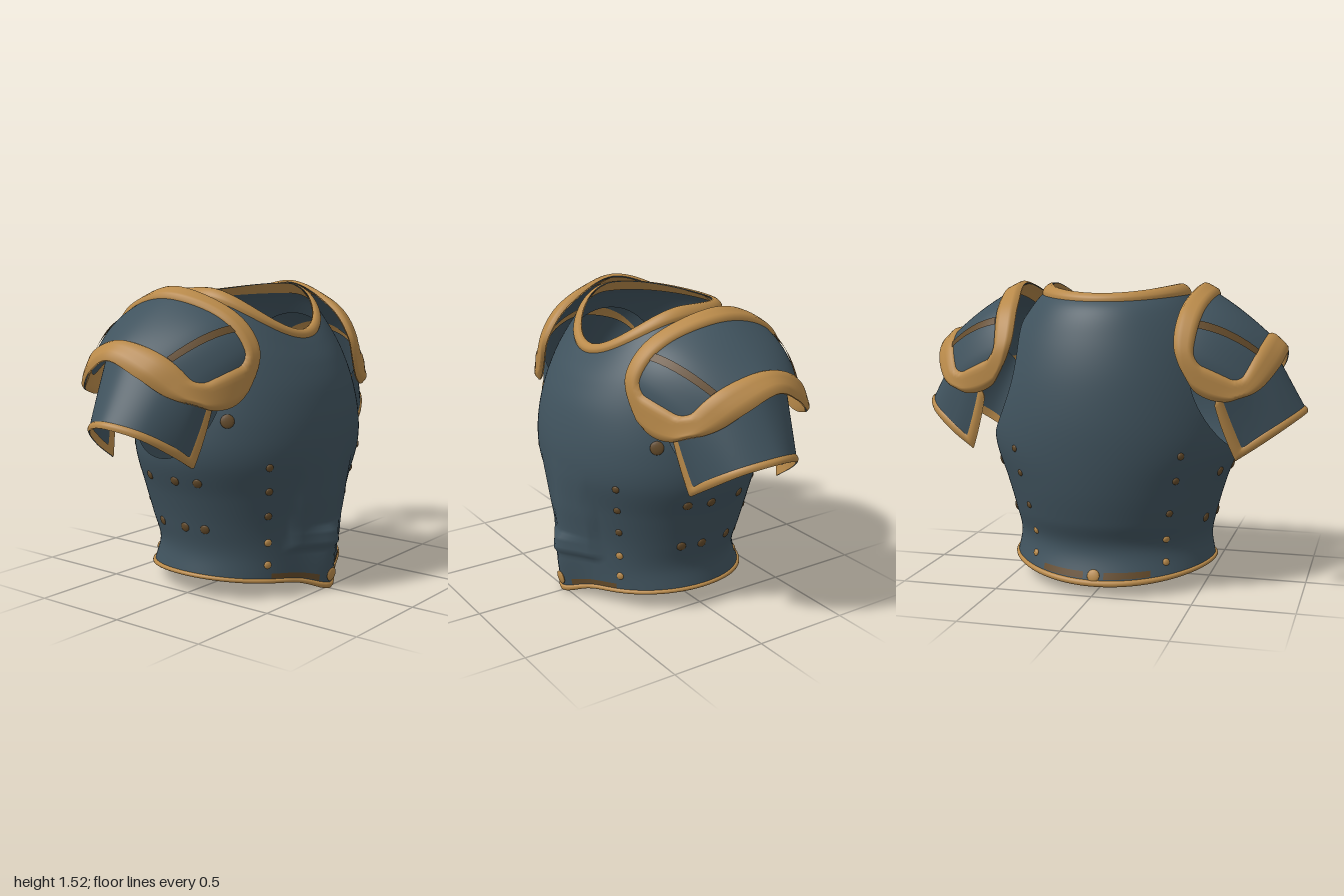
import * as THREE from 'three';
import { mergeVertices } from 'three/addons/utils/BufferGeometryUtils.js';

const paint = (name, color) =>
  new THREE.MeshStandardMaterial({ name, color, side: THREE.DoubleSide });

// Catmull-Rom value of a list of numbers at t (0 .. length - 1)
function spline(a, t) {
  const n = a.length - 1;
  const i = Math.min(Math.max(Math.floor(t), 0), n - 1), f = t - i;
  const p1 = a[i], p2 = a[i + 1];
  const p0 = i > 0 ? a[i - 1] : 2 * p1 - p2, p3 = i + 2 <= n ? a[i + 2] : 2 * p2 - p1;
  return p1 + 0.5 * f * (p2 - p0 + f * (2 * p0 - 5 * p1 + 4 * p2 - p3 + f * (3 * (p1 - p2) + p3 - p0)));
}
const smooth = THREE.MathUtils.smoothstep;

// Outward normal of a parametric surface
function normalAt(point, u, v) {
  const e = 0.004;
  const du = point(u + e, v).sub(point(u - e, v));
  const dv = point(u, v + e).sub(point(u, v - e));
  return du.cross(dv).normalize();
}

// Surface sheet over [u0,u1]x[v0,v1], trimmed to keep > 0 and raised by height
function sheet(point, [u0, u1, nu], [v0, v1, nv], keep = () => 1, height = null) {
  const pos = [];
  const place = ([u, v]) => {
    const p = point(u, v);
    if (height) p.addScaledVector(normalAt(point, u, v), height(u, v));
    return [p.x, p.y, p.z];
  };
  const trim = (poly) => {
    const out = [];
    poly.forEach((a, i) => {
      const b = poly[(i + 1) % poly.length], ka = keep(...a), kb = keep(...b);
      if (ka > 0) out.push(a);
      if (ka > 0 !== kb > 0) {
        const t = ka / (ka - kb);
        out.push([a[0] + (b[0] - a[0]) * t, a[1] + (b[1] - a[1]) * t]);
      }
    });
    return out;
  };
  const at = (i, j) => [u0 + ((u1 - u0) * i) / nu, v0 + ((v1 - v0) * j) / nv];
  for (let i = 0; i < nu; i++) for (let j = 0; j < nv; j++) {
    const a = at(i, j), b = at(i + 1, j), c = at(i + 1, j + 1), d = at(i, j + 1);
    for (const tri of [[a, b, c], [a, c, d]]) {
      const poly = trim(tri).map(place);
      for (let k = 2; k < poly.length; k++) pos.push(...poly[0], ...poly[k - 1], ...poly[k]);
    }
  }
  const g = new THREE.BufferGeometry();
  g.setAttribute('position', new THREE.Float32BufferAttribute(pos, 3));
  const merged = mergeVertices(g, 1e-4);
  merged.computeVertexNormals();
  return merged;
}

// Signed distance to a rounded rectangle in (u,s), scaled to rough lengths
function roundedRect(u, s, [ua, ub, sa, sb], r, lu, ls) {
  const x = Math.max(ua - u, u - ub) * lu + r, y = Math.max(sa - s, s - sb) * ls + r;
  return Math.hypot(Math.max(x, 0), Math.max(y, 0)) + Math.min(Math.max(x, y), 0) - r;
}

// Plate through three rows of points: u runs across the rows, s along them
function platePoint(rows) {
  const cols = rows.map((row) => [0, 1, 2].map((k) => row.map((p) => p[k])));
  return (u, s) => {
    const w = [2 * (u - 0.5) * (u - 1), 4 * u * (1 - u), 2 * u * (u - 0.5)];
    const q = [0, 1, 2].map((k) =>
      cols.reduce((sum, c, i) => sum + w[i] * spline(c[k], s * (c[k].length - 1)), 0));
    return new THREE.Vector3(...q);
  };
}

// Breastplate meridians from hem to neck
const FRONT_Y = [0.06, 0.2, 0.34, 0.52, 0.7, 0.86, 1.02, 1.14, 1.23, 1.31];
const FRONT_Z = [0.445, 0.455, 0.465, 0.5, 0.54, 0.54, 0.508, 0.455, 0.395, 0.33];
const KEEL = [0.055, 0.07, 0.05, 0.025, 0.005, 0, 0, 0, 0, 0];
const SIDE_Y = [0.105, 0.23, 0.36, 0.52, 0.7, 0.86, 1.05, 1.25, 1.41, 1.52];
const SIDE_X = [0.53, 0.51, 0.535, 0.58, 0.64, 0.64, 0.6, 0.53, 0.43, 0.33];
const BACK_Y = [0.05, 0.22, 0.36, 0.52, 0.7, 0.88, 1.08, 1.26, 1.4, 1.48];
const BACK_Z = [0.48, 0.43, 0.475, 0.515, 0.54, 0.545, 0.525, 0.48, 0.42, 0.33];

function torsoPoint(th, v) {
  const c = Math.cos(th), front = c > 0;
  const x = spline(SIDE_X, v) * Math.sin(th), ys = spline(SIDE_Y, v);
  let y = ys + (spline(front ? FRONT_Y : BACK_Y, v) - ys) * c * c;
  let z = spline(front ? FRONT_Z : BACK_Z, v) * c;
  if (front) {
    const ax = Math.abs(x);
    z += spline(KEEL, v) * Math.exp(-((ax / 0.11) ** 1.5));
    // raised belly plate and stepped hem point
    z += 0.02 * (1 - smooth(ax, 0.195, 0.225)) * smooth(y, 0.225, 0.25) * (1 - smooth(y, 0.45, 0.75));
    z += 0.02 * Math.exp(-((ax / 0.12) ** 2)) * (1 - smooth(y, 0.32, 0.345));
    y -= 0.055 * Math.exp(-((ax / 0.11) ** 2)) * Math.max(0, 1 - v);
  }
  return new THREE.Vector3(x, y, z);
}

export function createModel() {
  const steel = paint('blue steel', 0x40535e);
  const gold = paint('gold trim', 0xb98a4a);
  const bronze = paint('dark bronze', 0x634a2a);
  const model = new THREE.Group();
  model.name = 'armour';
  const add = (parent, name, geometry, material) => {
    const mesh = new THREE.Mesh(geometry, material);
    mesh.name = name;
    parent.add(mesh);
    return mesh;
  };

  // Torso shell with two oval armholes
  const armhole = (th, v) => {
    const p = torsoPoint(th, v);
    if (Math.abs(p.x) < 0.25) return 1;
    return ((p.z + 0.05) / 0.3) ** 2 + ((p.y - 1.03) / 0.32) ** 2 - 1;
  };
  const around = [-Math.PI, Math.PI, 120];
  add(model, 'breastplate', sheet(torsoPoint, around, [0, 9, 72], armhole), steel);

  // Rolled collar and hem, gold on both faces
  const roll = (a, b, h) => (th, v) => h * Math.sqrt(Math.max(0, Math.sin((Math.PI * (v - a)) / (b - a))));
  for (const [name, a, b, h] of [['collar', 8.48, 9, 0.016], ['hem', 0, 0.17, 0.01]]) {
    add(model, name + 'Trim', sheet(torsoPoint, around, [a, b, 8], undefined, roll(a, b, h)), gold);
    add(model, name + 'Lining', sheet(torsoPoint, around, [a, b, 2], undefined, () => -0.005), gold);
  }

  // Bronze bars and small bosses over the hem, front and back
  for (const side of [1, -1]) {
    for (const [a, b] of [[0.12, 0.6], [Math.PI - 0.55, Math.PI - 0.1]]) {
      const range = side > 0 ? [a, b, 12] : [-b, -a, 12];
      add(model, 'hemBar', sheet(torsoPoint, range, [0.2, 0.38, 2], undefined, () => 0.005), bronze);
    }
  }

  // Domed rivets set on the shell at an angle and height
  const dome = new THREE.SphereGeometry(1, 14, 8);
  const rivet = (th, y, r, material, name = 'rivet') => {
    let lo = 0, hi = 9;
    for (let i = 0; i < 24; i++) {
      const mid = (lo + hi) / 2;
      if (torsoPoint(th, mid).y < y) lo = mid; else hi = mid;
    }
    const mesh = add(model, name, dome, material);
    mesh.position.copy(torsoPoint(th, lo));
    mesh.quaternion.setFromUnitVectors(new THREE.Vector3(0, 0, 1), normalAt(torsoPoint, th, lo));
    mesh.scale.set(r, r, 0.009);
  };
  for (const side of [1, -1]) {
    [0.68, 0.555, 0.425, 0.285, 0.17].forEach((y, i) => {
      rivet(side * 0.65, y, 0.019, i > 2 ? gold : bronze);
      rivet(side * (Math.PI - 0.72), y + (i < 2 ? 0.03 : -0.01), 0.018, i > 2 ? gold : bronze);
    });
    for (const th of [1.29, 1.53, 1.9]) for (const y of [0.6, 0.355]) rivet(side * th, y, 0.024, bronze);
    rivet(side * 1.0, 0.91, 0.034, bronze, 'strapStud');
  }
  rivet(0, 0.08, 0.036, gold, 'hemBoss');
  rivet(Math.PI, 0.1, 0.032, gold, 'hemBoss');

  // Shoulder plate rows: neck side, crown, arm side (each front to back)
  const shoulder = platePoint([
    [[0.44, 1.08, 0.36], [0.385, 1.25, 0.36], [0.4, 1.41, 0.22], [0.455, 1.52, -0.08],
      [0.41, 1.42, -0.36], [0.4, 1.25, -0.49], [0.46, 1.08, -0.5]],
    [[0.56, 0.98, 0.33], [0.58, 1.2, 0.3], [0.62, 1.34, 0.16], [0.66, 1.395, -0.1],
      [0.64, 1.34, -0.34], [0.6, 1.18, -0.46], [0.57, 1.0, -0.48]],
    [[0.73, 1.0, 0.26], [0.81, 1.05, 0.14], [0.87, 1.13, 0.03], [0.895, 1.2, -0.13],
      [0.87, 1.14, -0.27], [0.8, 1.05, -0.39], [0.71, 1.0, -0.46]],
  ]);
  // Upper arm guard rows: under the shoulder, middle, lower rim
  const guard = platePoint([
    [[0.58, 0.98, 0.24], [0.66, 1.1, 0.24], [0.74, 1.2, 0.12], [0.8, 1.24, -0.08],
      [0.74, 1.2, -0.28], [0.66, 1.1, -0.38], [0.58, 0.97, -0.4]],
    [[0.62, 0.83, 0.22], [0.73, 0.94, 0.215], [0.85, 1.02, 0.1], [0.905, 1.05, -0.08],
      [0.85, 1.02, -0.25], [0.73, 0.94, -0.34], [0.62, 0.83, -0.37]],
    [[0.675, 0.69, 0.2], [0.8, 0.77, 0.18], [0.93, 0.86, 0.09], [0.992, 0.9, -0.08],
      [0.93, 0.86, -0.23], [0.8, 0.77, -0.31], [0.675, 0.685, -0.33]],
  ]);

  // Trimmed plate: steel sheet, raised gold border, gold lining behind it
  const plate = (parent, name, point, outer, inner, r, size, h) => {
    const edge = (u, s) => -roundedRect(u, s, [0, 1, 0, 1], outer, ...size);
    const border = (u, s) => Math.min(edge(u, s), roundedRect(u, s, inner, r, ...size));
    const U = [0, 1, 32], S = [0, 1, 64];
    const raise = (u, s) => h * Math.sqrt(Math.min(1, Math.max(0, border(u, s)) / 0.025));
    add(parent, name, sheet(point, U, S, (u, s) => edge(u, s) + 1e-6), steel);
    add(parent, name + 'Trim', sheet(point, U, S, border, raise), gold);
    add(parent, name + 'Lining', sheet(point, U, S, border, () => -0.005), gold);
  };

  for (const side of [1, -1]) {
    const arm = new THREE.Group();
    arm.name = side > 0 ? 'leftArm' : 'rightArm';
    arm.scale.x = side;
    plate(arm, 'shoulderPlate', shoulder, 0.12, [0.23, 0.8, 0.12, 0.88], 0.07, [0.6, 1.4], 0.02);
    plate(arm, 'armGuard', guard, 0.001, [-1, 0.89, 0.06, 0.94], 0.01, [0.4, 0.95], 0.009);
    // Bronze straps across the shoulder panel
    const strap = (mid) => (u, s) => 0.016 - Math.abs(s - mid - (0.5 - mid) * 0.2 * u);
    for (const mid of [0.25, 0.74])
      add(arm, 'shoulderStrap', sheet(shoulder, [0.23, 0.8, 12], [mid - 0.1, mid + 0.1, 16], strap(mid), () => 0.007), bronze);
    model.add(arm);
  }
  return model;
}
